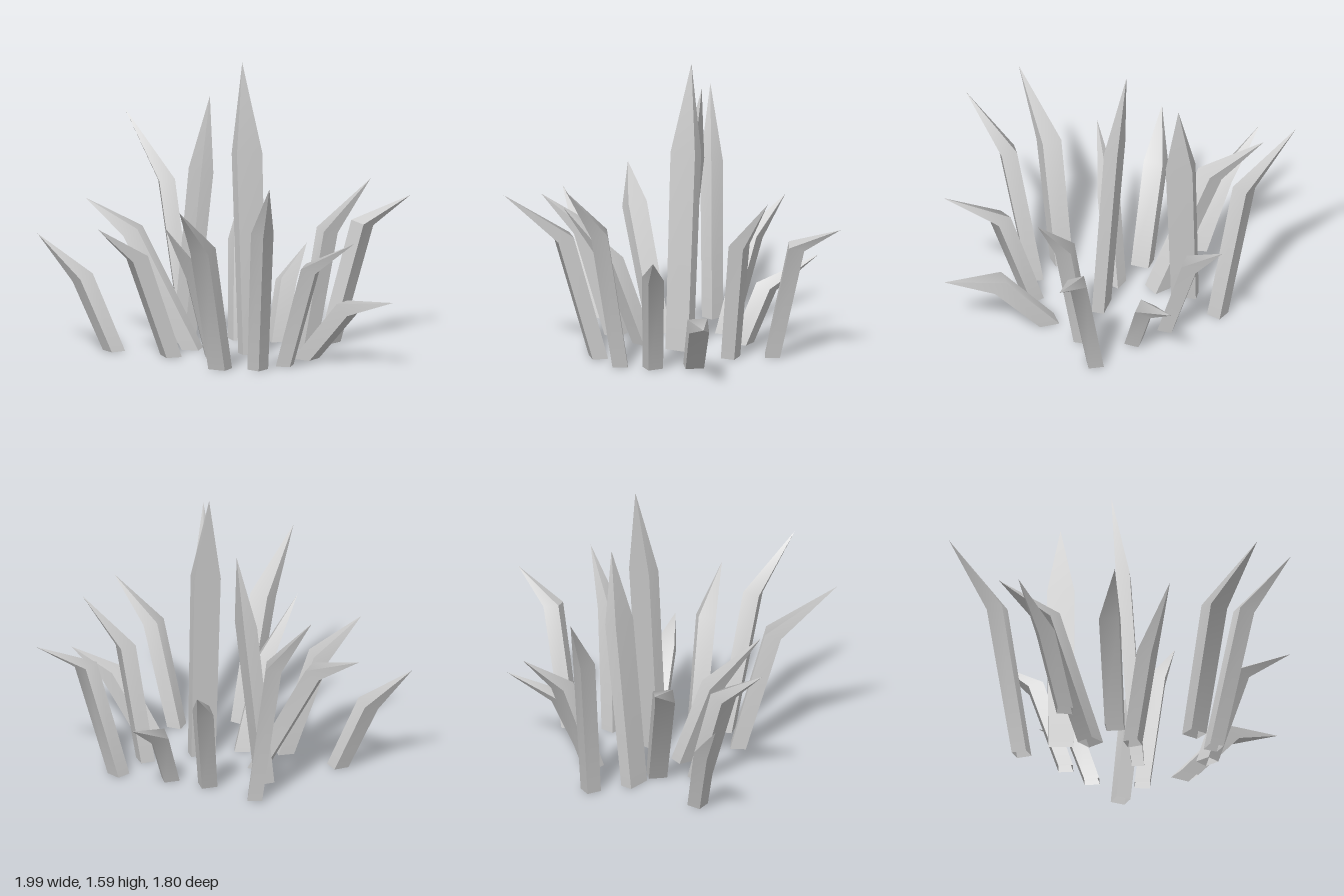
import * as THREE from 'three';
import { toCreasedNormals } from 'three/addons/utils/BufferGeometryUtils.js';

// Blades grouped by cross-section: width, thickness and twist in degrees.
// Each blade: base x, z | tip x, y, z | share of the reach and height at which
// it bends | optional sideways bow at the bend
const KINDS = [
  {
    name: 'tallBlade', width: 0.15, thick: 0.075, twist: 0,
    blades: [
      [0.085, -0.1, -0.03, 1.59, -0.185, 0.53, 1.1],
      [-0.38, -0.15, -0.295, 1.36, -0.285, 0.66, 0.95],
    ],
  },
  {
    name: 'flatBlade', width: 0.11, thick: 0.09, twist: 2,
    blades: [
      [-0.26, -0.04, -0.9, 0.785, 0.025, 0.525, 0.635, 0.045],
      [-0.255, 0.195, -0.5, 0.745, 0.57, 0.43, 0.56, -0.028],
      [0.155, 0.36, 0.215, 0.965, 0.895, 0.355, 0.69, -0.016],
      [0.41, -0.125, 0.99, 0.375, -0.085, 0.475, 0.31],
    ],
  },
  {
    name: 'twistedBlade', width: 0.095, thick: 0.083, twist: 25,
    blades: [
      [-0.185, -0.4, -0.385, 0.71, -0.76, 0.44, 0.52],
      [0.41, 0.1, 0.9, 0.74, 0.18, 0.37, 0.56],
    ],
  },
  {
    name: 'ridgedBlade', width: 0.09, thick: 0.086, twist: 43,
    blades: [
      [0.29, -0.58, 0.61, 0.795, -0.905, 0.39, 0.66, -0.023],
      [0.28, -0.35, 0.595, 0.955, -0.505, 0.33, 0.67, -0.025],
      [0.025, -0.46, -0.04, 0.465, -0.89, 0.31, 0.31],
      [-0.49, -0.375, -0.925, 1.2, -0.435, 0.335, 0.84],
      [-0.6, 0.225, -1, 0.635, 0.37, 0.41, 0.4],
      [-0.06, 0.075, -0.105, 0.785, 0.515, 0.385, 0.47],
      [0.34, 0.27, 0.62, 1.09, 0.615, 0.39, 0.79],
    ],
  },
];

const UP = new THREE.Vector3(0, 1, 0);

// Four-sided blade: open base cut level with the ground, bent shoulder, pointed tip
function bladeGeometry({ width, thick, twist }, [bx, bz, tx, ty, tz, reach, bendY, bow = 0]) {
  const base = new THREE.Vector3(bx, 0, bz);
  const tip = new THREE.Vector3(tx, ty, tz);
  const side = UP.clone().cross(tip.clone().sub(base)).normalize();
  const shoulder = base.clone().lerp(tip, reach).setY(bendY).addScaledVector(side, bow);

  // section axes across the lower stem
  const axis = shoulder.clone().sub(base).normalize();
  const u = UP.clone().cross(axis).normalize();
  const v = axis.clone().cross(u);
  const low = [], high = [];
  for (const [cu, cv] of [[1, 1], [-1, 1], [-1, -1], [1, -1]]) {
    const p = new THREE.Vector2(cu * width / 2, cv * thick / 2)
      .rotateAround(new THREE.Vector2(), THREE.MathUtils.degToRad(twist));
    const offset = u.clone().multiplyScalar(p.x).addScaledVector(v, p.y);
    high.push(shoulder.clone().add(offset));
    // slide the lower corner along the axis onto the ground
    const foot = base.clone().addScaledVector(offset, 0.92);
    low.push(foot.addScaledVector(axis, -foot.y / axis.y));
  }

  // stem quads, then the faces closing on the tip
  const index = [];
  for (let i = 0; i < 4; i++) {
    const j = (i + 1) % 4;
    index.push(i, j, 4 + j, i, 4 + j, 4 + i, 4 + i, 4 + j, 8);
  }
  const geometry = new THREE.BufferGeometry().setFromPoints([...low, ...high, tip]);
  geometry.setIndex(index);
  return toCreasedNormals(geometry, 0.8);
}

export function createModel() {
  const group = new THREE.Group();
  group.name = 'grassTuft';
  const material = new THREE.MeshStandardMaterial({ color: 0xcccccc, side: THREE.DoubleSide });
  for (const kind of KINDS) {
    kind.blades.forEach((blade, i) => {
      const mesh = new THREE.Mesh(bladeGeometry(kind, blade), material);
      mesh.name = `${kind.name}${i + 1}`;
      group.add(mesh);
    });
  }
  return group;
}
